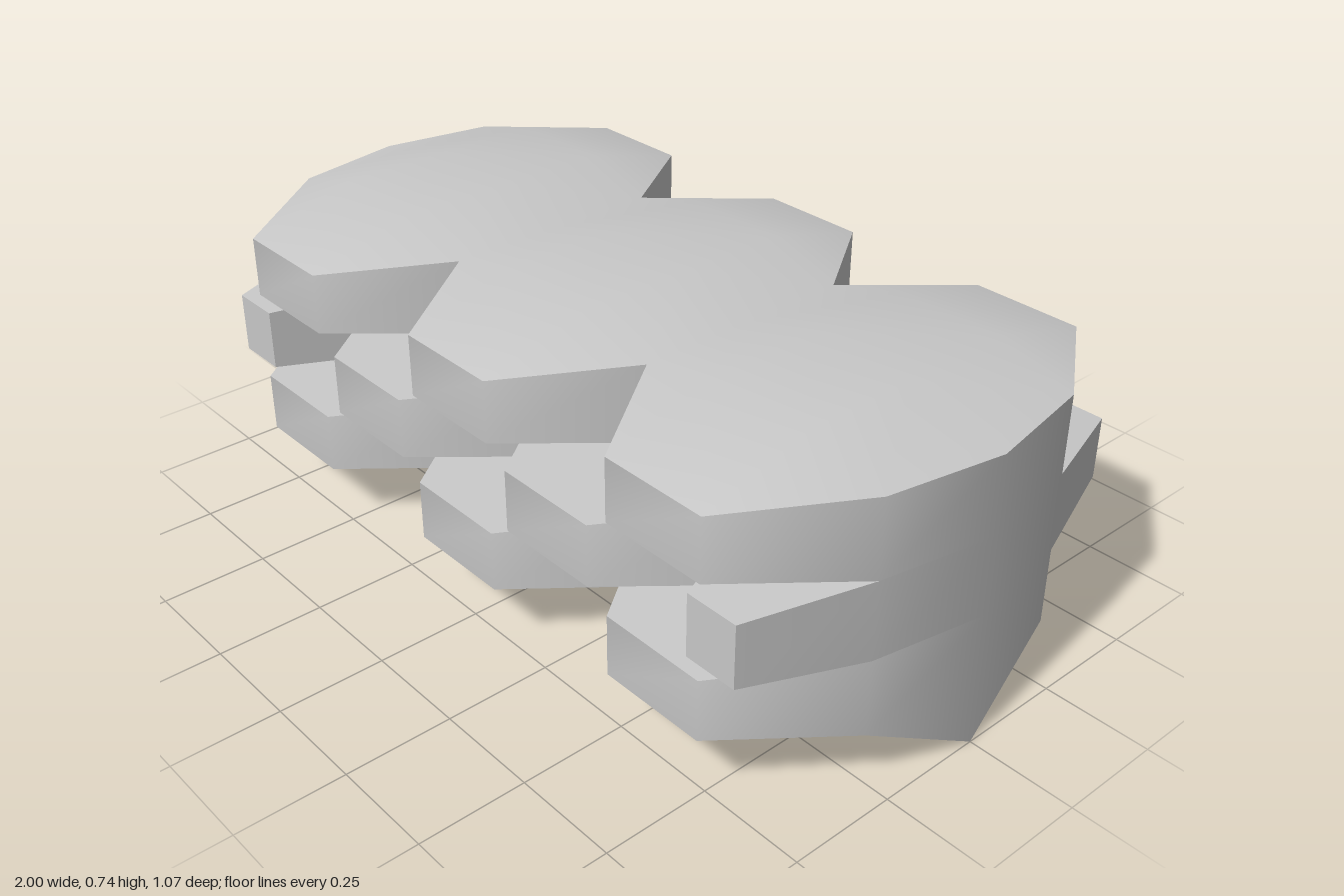
import * as THREE from 'three';
import { toCreasedNormals } from 'three/addons/utils/BufferGeometryUtils.js';

const IN = 0.27, OUT = 0.537;   // depth of the core and of the lobe fronts

// Collects polygons and mirrors each one from the +z half to the -z half.
function makeShell() {
  const pos = [];
  const fan = (pts, s) => {
    for (let i = 1; i < pts.length - 1; i++) {
      const tri = s > 0 ? [pts[0], pts[i], pts[i + 1]] : [pts[0], pts[i + 1], pts[i]];
      tri.forEach(([x, y, z]) => pos.push(x, y, z * s));
    }
  };
  return {
    add(...pts) { fan(pts, 1); fan(pts, -1); },
    mesh(name, material) {
      let geo = new THREE.BufferGeometry();
      geo.setAttribute('position', new THREE.Float32BufferAttribute(pos, 3));
      geo = toCreasedNormals(geo, Math.PI / 3);
      const mesh = new THREE.Mesh(geo, material);
      mesh.name = name;
      return mesh;
    },
  };
}

// Each lobe: x of [left root, left front corner, right front corner, right root].
const threeLobes = [
  [-0.95, -0.763, -0.503, -0.317],
  [-0.317, -0.13, 0.13, 0.317],
  [0.317, 0.503, 0.763, 0.95],
];
const staggeredLobes = [
  [-0.95, -0.857, -0.73, -0.635],
  [-0.635, -0.445, -0.188, 0],
  [0, 0.188, 0.445, 0.635],
  [0.635, 0.73, 0.857, 0.95],
];

// Side walls along the lobed outline; low and high are y at [centre, root, front].
function addWalls(shell, lobes, low, high) {
  const path = [[-1, 0], [-0.95, 1]];
  lobes.forEach(([, b, c, d]) => path.push([b, 2], [c, 2], [d, 1]));
  path.push([1, 0]);
  const depth = [0, IN, OUT];
  for (let i = 0; i < path.length - 1; i++) {
    const [x0, k0] = path[i], [x1, k1] = path[i + 1];
    shell.add([x0, low[k0], depth[k0]], [x1, low[k1], depth[k1]],
      [x1, high[k1], depth[k1]], [x0, high[k0], depth[k0]]);
  }
}

// Sloping shelf above or below every lobe.
function addShelves(shell, lobes, y, up) {
  lobes.forEach(([a, b, c, d]) => {
    const pts = [[a, y[1], IN], [b, y[2], OUT], [c, y[2], OUT], [d, y[1], IN]];
    shell.add(...(up ? pts : pts.reverse()));
  });
}

export function createModel() {
  const group = new THREE.Group();
  group.name = 'lobedBlock';
  const grey = new THREE.MeshStandardMaterial({ color: 0xc8c8c8 });
  grey.name = 'light grey';

  const keel = [0, 0.14, 0.158];
  const lowerTop = [0.32, 0.32, 0.302], middleLow = [0.32, 0.32, 0.34];
  const middleTop = [0.503, 0.503, 0.485], upperLow = [0.503, 0.503, 0.522];
  const roof = [0.685, 0.685, 0.667], ridge = 0.737;

  // Lower tier with a V-shaped keel
  const lower = makeShell();
  addWalls(lower, threeLobes, keel, lowerTop);
  addShelves(lower, threeLobes, lowerTop, true);
  addShelves(lower, threeLobes, keel, false);
  const keelX = [-1, -0.317, 0.317, 1];
  threeLobes.forEach(([a, , , d], i) => lower.add([keelX[i], keel[0], 0],
    [keelX[i + 1], keel[0], 0], [d, keel[1], IN], [a, keel[1], IN]));
  group.add(lower.mesh('lowerTier', grey));

  // Middle tier, staggered by half a lobe
  const middle = makeShell();
  addWalls(middle, staggeredLobes, middleLow, middleTop);
  addShelves(middle, staggeredLobes, middleTop, true);
  addShelves(middle, staggeredLobes, middleLow, false);
  group.add(middle.mesh('middleTier', grey));

  // Upper tier with a ridged roof over each lobe
  const upper = makeShell();
  addWalls(upper, threeLobes, upperLow, roof);
  addShelves(upper, threeLobes, upperLow, false);
  threeLobes.forEach(([a, b, c, d]) => {
    const line = [[a, roof[1]], [b, ridge], [c, ridge], [d, roof[1]]];
    for (let i = 0; i < 3; i++) {
      const [x0, y0] = line[i], [x1, y1] = line[i + 1];
      upper.add([x0, y0, 0], [x0, y0, IN], [x1, y1, IN], [x1, y1, 0]);
    }
    const A = [a, roof[1], IN], B = [b, ridge, IN], C = [c, ridge, IN], D = [d, roof[1], IN];
    const front0 = [b, roof[2], OUT], front1 = [c, roof[2], OUT];
    upper.add(A, front0, B);
    upper.add(B, front0, front1, C);
    upper.add(C, front1, D);
  });
  upper.add([-1, roof[0], 0], [-0.95, roof[1], IN], [-0.95, roof[1], 0]);
  upper.add([0.95, roof[1], 0], [0.95, roof[1], IN], [1, roof[0], 0]);
  group.add(upper.mesh('upperTier', grey));

  return group;
}
